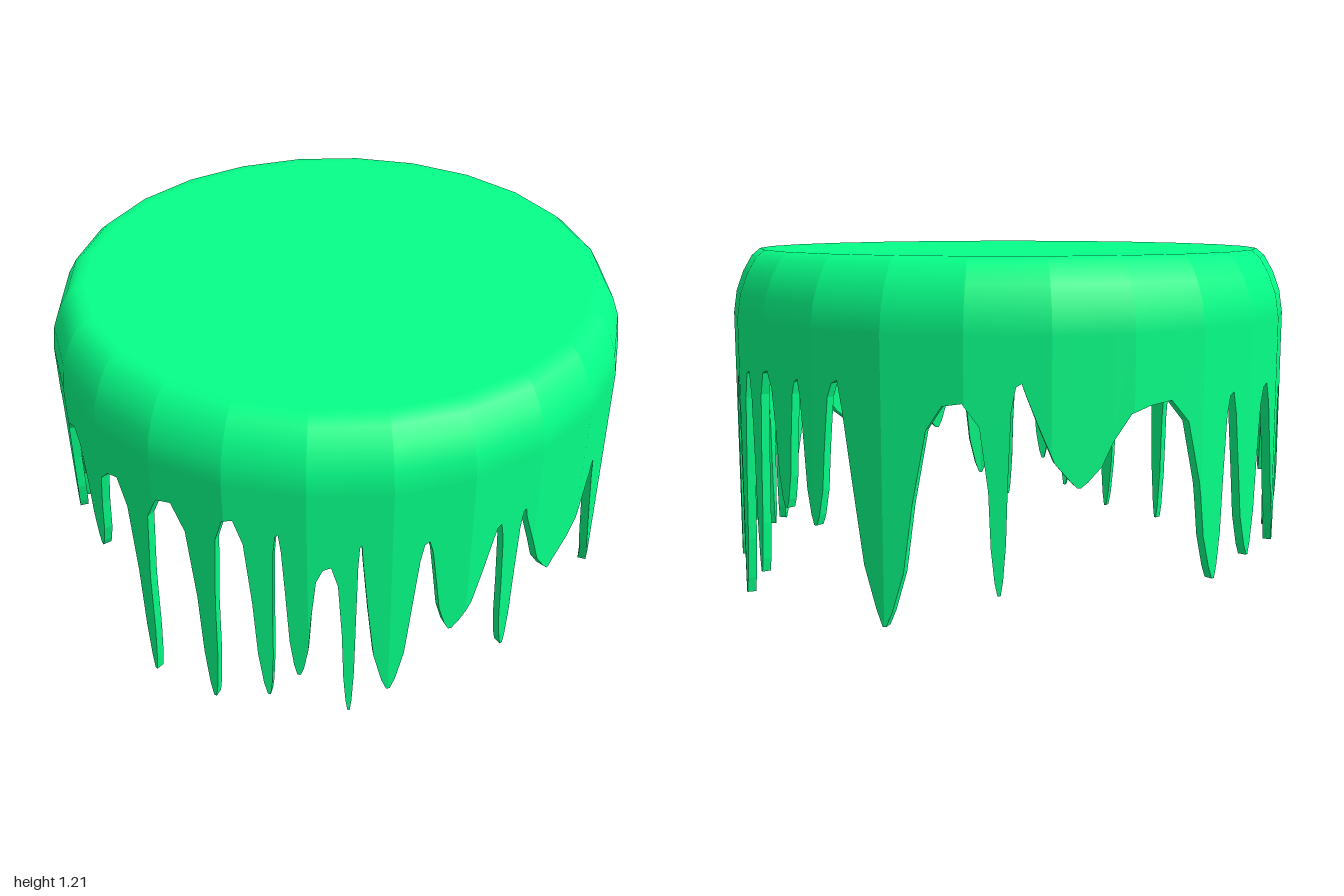
import * as THREE from 'three';

const RAD = Math.PI / 180;
const SIDE = 15; // degrees per wall panel (24 sides)

// Drips round the rim: angle from the front towards +x, tip height,
// half widths before and after the tip in degrees, height of the gap that follows
const DRIPS = [
  [6.5, 0.42, 8.5, 14, 0.71], [33, 0.1, 10, 1.4, 0.81], [38.7, 0.1, 1.3, 1.5, 0.82],
  [49, 0.16, 2.2, 2.2, 0.84], [60.3, 0.08, 4.2, 4.8, 0.77], [75, 0.01, 3.2, 3.2, 0.81],
  [85, 0.13, 2.4, 2.4, 0.83], [96, 0.39, 3.2, 2.6, 0.82], [105, 0.36, 3.5, 3, 0.83],
  [120, 0.07, 8, 7, 0.78], [141, 0.19, 2.2, 1.8, 0.84], [155, 0.52, 9, 8, 0.77],
  [184.4, 0.17, 6, 2.8, 0.77], [195.5, 0.21, 4.8, 4.8, 0.77], [212.8, 0.19, 6.5, 7, 0.74],
  [229.7, 0.17, 7, 1.2, 0.86], [235.7, 0.36, 1.8, 3, 0.81], [249, 0.39, 5.5, 4, 0.85],
  [265, 0.42, 4, 4, 0.82], [280, 0, 2, 2, 0.84], [295.3, 0.02, 2.7, 2, 0.85],
  [307, 0.1, 3, 1.6, 0.82], [313, 0.22, 2.5, 3, 0.7], [322.5, 0.05, 1.6, 1.4, 0.79],
  [330, 0.15, 5, 5, 0.77], [342, 0.37, 4, 8, 0.75], [354.7, 0.19, 2, 1.5, 0.77],
];

// Half a drip: [fraction of width, fraction of height]; broad drips are pointed
const TAPER = [[0.2, 0], [0.45, 0.07], [0.72, 0.25], [0.88, 0.55]];
const spread = (f, w) => w * f ** (1 + w / 8);

// Lower edge of the slime as [angle, height] points running once round
function lowerEdge() {
  const pts = [];
  DRIPS.forEach(([a, tip, , w, gapY], i) => {
    const [b, nextTip, nextW] = DRIPS[(i + 1) % DRIPS.length];
    const nextA = b + (i === DRIPS.length - 1 ? 360 : 0);
    const start = a + w, end = nextA - nextW, gap = end - start;
    for (const [f, t] of TAPER) pts.push([a + spread(f, w), tip + t * (gapY - tip)]);
    pts.push([start + gap * 0.1, tip + 0.88 * (gapY - tip)]);
    pts.push([start + gap * 0.35, gapY - 0.01], [start + gap * 0.65, gapY]);
    pts.push([end - gap * 0.1, nextTip + 0.88 * (gapY - nextTip)]);
    for (const [f, t] of [...TAPER].reverse()) {
      pts.push([nextA - spread(f, nextW), nextTip + t * (gapY - nextTip)]);
    }
  });
  // Add a point wherever a panel corner falls between two points
  const out = [];
  pts.forEach(([a, y], i) => {
    const last = i === pts.length - 1;
    const [b, z] = last ? [pts[0][0] + 360, pts[0][1]] : pts[i + 1];
    out.push([a, y]);
    for (let c = Math.floor(a / SIDE + 1) * SIDE; c < b - 1e-6; c += SIDE) {
      if (c - a > 1e-6) out.push([c, y + ((z - y) * (c - a)) / (b - a)]);
    }
  });
  out.push([out[0][0] + 360, out[0][1]]);
  return out;
}

// Cross-section from the ceiling centre, down inside, under the edge and up
// outside to the top centre: [radius, height or null for the edge, normal tilt]
const SECTION = [
  [0, 1.185, -90], [0.87, 1.185, -90], [0.872, 1.184, 230], [0.93, 1.13, 212],
  [0.957, 1.06, 195], [0.97, 0.98, 180], [0.97, null, 180],
  [1, null, 0], [1, 0.98, 0], [0.988, 1.06, 15], [0.962, 1.13, 32],
  [0.93, 1.185, 52], [0.9, 1.21, 75], [0.87, 1.21, 90], [0, 1.21, 90],
];
const RIM = 6;

function slimeGeometry() {
  const edge = lowerEdge();
  const position = [], normal = [];
  const e1 = new THREE.Vector3(), e2 = new THREE.Vector3();
  for (let i = 0; i < edge.length - 1; i++) {
    const cols = [edge[i], edge[i + 1]];
    const mid = (Math.floor((cols[0][0] + cols[1][0]) / 2 / SIDE) + 0.5) * SIDE;
    // Point on the flat panel
    const point = (c, [r, y]) => {
      const a = cols[c][0];
      const q = (r * Math.cos((SIDE / 2) * RAD)) / Math.cos((a - mid) * RAD);
      return new THREE.Vector3(q * Math.sin(a * RAD), y === null ? cols[c][1] : y, q * Math.cos(a * RAD));
    };
    // Normals are smooth up the section and flat across each panel
    const tilt = (deg) => new THREE.Vector3(
      Math.sin(mid * RAD) * Math.cos(deg * RAD), Math.sin(deg * RAD),
      Math.cos(mid * RAD) * Math.cos(deg * RAD));
    for (let j = 0; j < SECTION.length - 1; j++) {
      const lo = SECTION[j], hi = SECTION[j + 1];
      const p = [point(0, lo), point(1, lo), point(1, hi), point(0, hi)];
      let nLo = tilt(lo[2]), nHi = tilt(hi[2]);
      if (j === RIM) {
        e1.subVectors(p[1], p[0]);
        e2.subVectors(p[3], p[0]);
        nLo = nHi = new THREE.Vector3().crossVectors(e1, e2).normalize();
      }
      const n = [nLo, nLo, nHi, nHi];
      const corners = [];
      if (lo[0] > 0) corners.push(0, 1, 2);
      if (hi[0] > 0) corners.push(0, 2, 3);
      for (const k of corners) {
        position.push(...p[k].toArray());
        normal.push(...n[k].toArray());
      }
    }
  }
  const geo = new THREE.BufferGeometry();
  geo.setAttribute('position', new THREE.Float32BufferAttribute(position, 3));
  geo.setAttribute('normal', new THREE.Float32BufferAttribute(normal, 3));
  return geo;
}

export function createModel() {
  const group = new THREE.Group();
  group.name = 'drippingSlime';
  const slime = new THREE.Mesh(slimeGeometry(), new THREE.MeshStandardMaterial({ color: 0x05ff88 }));
  slime.name = 'slimeCap';
  group.add(slime);
  return group;
}
